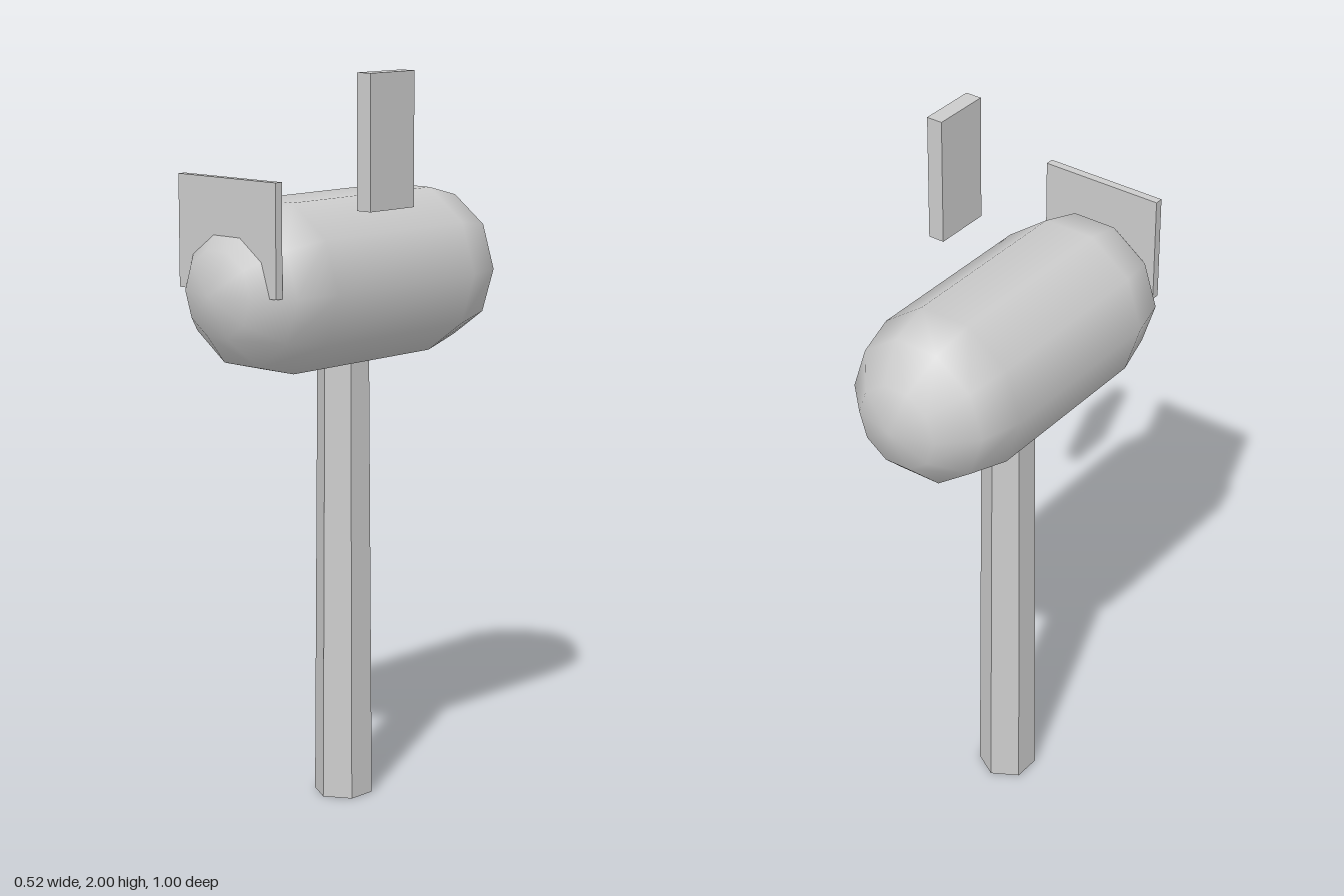
import * as THREE from 'three';

const smooth = new THREE.MeshStandardMaterial({ color: 0xcccccc });
const flat = new THREE.MeshStandardMaterial({ color: 0xcccccc, flatShading: true });

function addPart(group, name, geometry, material, x, y, z) {
  const mesh = new THREE.Mesh(geometry, material);
  mesh.name = name;
  mesh.position.set(x, y, z);
  group.add(mesh);
}

export function createModel() {
  const group = new THREE.Group();
  group.name = 'mailbox';
  const axisX = -0.025, bodyY = 1.44, radius = 0.235;

  // Slightly tapered hexagonal post, running up into the body
  addPart(group, 'post', new THREE.CylinderGeometry(0.07, 0.081, bodyY, 6), flat, axisX, bodyY / 2, 0);

  // Ten-sided capsule lying front to back
  const body = new THREE.CapsuleGeometry(radius, 1 - 2 * radius, 3, 10).rotateX(Math.PI / 2);
  addPart(group, 'body', body, smooth, axisX, bodyY, 0);

  // Thin door plate set into the front of the body
  addPart(group, 'door', new THREE.BoxGeometry(0.352, 0.295, 0.023), flat, axisX, 1.5875, 0.421);

  // Raised signal flag, off to the left side
  addPart(group, 'flag', new THREE.BoxGeometry(0.046, 0.35, 0.165), flat, 0.235, 1.825, 0.117);

  return group;
}
